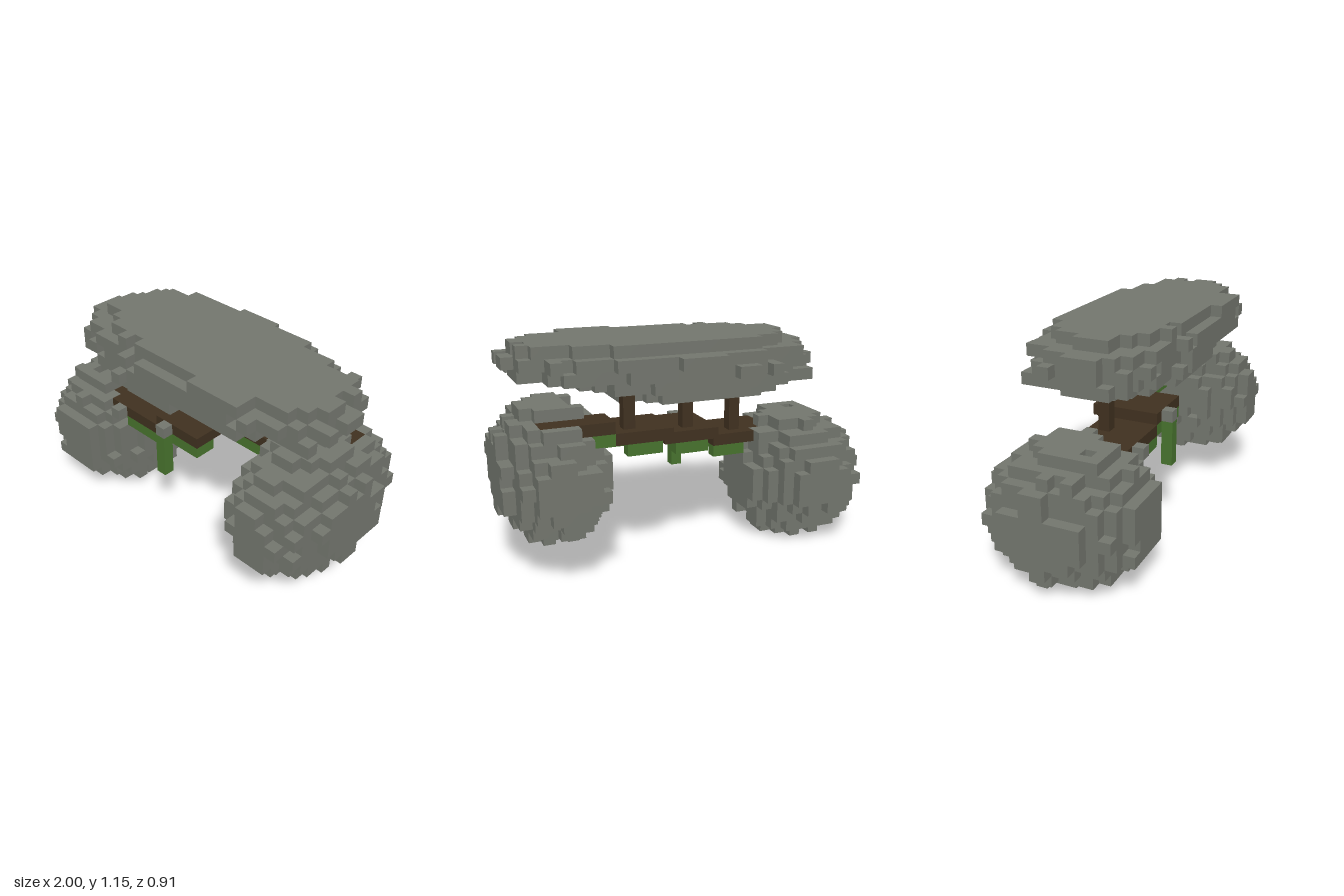
import * as THREE from 'three';

// Grid of cubes: 33 wide, 19 high, 15 deep
const S = 2 / 33;
const materials = {
  stone: new THREE.MeshStandardMaterial({ name: 'stone grey', color: 0x72756d }),
  wood: new THREE.MeshStandardMaterial({ name: 'dark wood', color: 0x3f301f }),
  moss: new THREE.MeshStandardMaterial({ name: 'moss green', color: 0x47722d }),
};

// Repeatable noise in -1..1 for each cell
function noise(i, j, k) {
  let h = (i * 374761393 + j * 668265263 + k * 1274126177) | 0;
  h = Math.imul(h ^ (h >>> 13), 1274126177);
  return ((h ^ (h >>> 16)) >>> 0) / 2147483648 - 1;
}

const key = (i, j, k) => `${i},${j},${k}`;

// Outward faces of every cell of a part that has no neighbour
const AXES = [[1, 0, 0], [0, 1, 0], [0, 0, 1]];
function partGeometry(cells, part) {
  const pos = [], nor = [];
  for (const [name, owner] of cells) {
    if (owner !== part) continue;
    const [i, j, k] = name.split(',').map(Number);
    const c = [i - 16, j + 0.5, k - 7];
    for (let a = 0; a < 3; a++) for (const sign of [1, -1]) {
      const n = AXES[a].map((v) => v * sign);
      if (cells.has(key(i + n[0], j + n[1], k + n[2]))) continue;
      const u = AXES[(a + 1) % 3], v = AXES[(a + 2) % 3];
      const quad = [[-1, -1], [1, -1], [1, 1], [-1, 1]].map(([p, q]) =>
        c.map((m, d) => (m + (n[d] + p * u[d] + q * v[d] * sign) / 2) * S));
      for (const t of [0, 1, 2, 0, 2, 3]) {
        pos.push(...quad[t]);
        nor.push(...n);
      }
    }
  }
  const g = new THREE.BufferGeometry();
  g.setAttribute('position', new THREE.Float32BufferAttribute(pos, 3));
  g.setAttribute('normal', new THREE.Float32BufferAttribute(nor, 3));
  return g;
}

export function createModel() {
  const cells = new Map();
  const box = (part, i0, i1, j0, j1, k0, k1) => {
    for (let i = i0; i <= i1; i++) for (let j = j0; j <= j1; j++) for (let k = k0; k <= k1; k++) {
      if (part) cells.set(key(i, j, k), part);
      else cells.delete(key(i, j, k));
    }
  };

  // Rough ellipsoid boulders with a few knobs
  const boulder = (part, ci, cj, ck, ri, rj, rk) => {
    for (let i = 0; i < 33; i++) for (let j = 0; j < 19; j++) for (let k = 0; k < 15; k++) {
      const d = [(i - ci) / ri, (j - cj) / rj, (k - ck) / rk];
      if (d.some((v) => Math.abs(v) > 1)) continue;
      if (d[0] ** 2 + d[1] ** 2 + d[2] ** 2 < 1.06 + 0.12 * noise(i, j, k)) cells.set(key(i, j, k), part);
    }
  };
  boulder('rightBoulder', 5, 5, 7, 5.5, 5.5, 6.5);
  box('rightBoulder', 0, 0, 8, 8, 6, 7);
  box('rightBoulder', 8, 8, 0, 0, 6, 7);
  box('rightBoulder', 3, 5, 10, 10, 8, 10);
  boulder('leftBoulder', 28, 8, 7, 4.5, 5.5, 7.5);
  box('leftBoulder', 28, 28, 2, 2, 7, 7);

  // Flat capstone, one rounded outline per layer: j, i range, k range
  const layers = [
    [14, 8, 22, 3, 12], [15, 5, 25, 2, 13], [16, 5, 30, 2, 13],
    [17, 5, 31, 2, 13], [18, 7, 30, 3, 12],
  ];
  for (const [j, i0, i1, k0, k1] of layers) {
    for (let i = i0; i <= i1; i++) for (let k = k0; k <= k1; k++) {
      const skew = (i - 18) * 0.03;
      const u = Math.abs((i - (i0 + i1) / 2) / ((i1 - i0 + 1) / 2));
      const v = Math.abs((k - skew - (k0 + k1) / 2) / ((k1 - k0 + 1) / 2));
      if (u ** 2.3 + v ** 2.3 < 1.03 + 0.18 * noise(i, j, k)) cells.set(key(i, j, k), 'capstone');
    }
  }
  // Capstone knobs on the front and back edges
  box('capstone', 21, 25, 18, 18, 12, 13);
  box('capstone', 10, 10, 16, 16, 1, 2);
  box('capstone', 12, 13, 16, 16, 1, 2);
  box('capstone', 15, 18, 17, 17, 1, 2);
  box(null, 29, 31, 14, 18, 1, 4);

  // Stepped walkway running diagonally, sunk into both boulders
  box(null, 4, 4, 10, 10, 9, 9);
  box('walkway', 4, 7, 9, 9, 9, 9);
  box('walkway', 8, 9, 9, 9, 7, 10);
  box('walkway', 10, 13, 9, 9, 6, 10);
  box('walkway', 14, 18, 10, 10, 5, 10);
  box('walkway', 19, 23, 11, 11, 3, 7);
  box('walkway', 24, 25, 12, 12, 3, 5);
  box('walkway', 26, 29, 12, 12, 3, 4);
  box(null, 24, 29, 13, 13, 3, 4);
  box('leftBoulder', 30, 30, 12, 12, 3, 4);
  box('rightBoulder', 9, 9, 9, 9, 11, 11);

  // Moss under the walkway edges
  box('moss', 10, 13, 8, 8, 9, 10);
  box('moss', 11, 13, 8, 8, 6, 6);
  box('moss', 14, 18, 9, 9, 9, 10);
  box('moss', 15, 17, 9, 9, 5, 5);
  box('moss', 19, 23, 10, 10, 6, 7);
  box('moss', 20, 22, 10, 10, 3, 3);
  box('moss', 24, 25, 11, 11, 3, 3);

  // Hanging vine with a small stone on top
  box('vine', 15, 15, 6, 9, 11, 11);
  box('vineStone', 15, 15, 10, 10, 11, 11);

  // Posts carrying the capstone
  box('posts', 11, 11, 10, 13, 7, 7);
  box('posts', 16, 16, 11, 13, 6, 6);
  box('posts', 22, 22, 12, 14, 4, 4);
  box(null, 23, 23, 14, 14, 4, 4);

  const parts = {
    rightBoulder: 'stone', leftBoulder: 'stone', capstone: 'stone', vineStone: 'stone',
    walkway: 'wood', posts: 'wood', moss: 'moss', vine: 'moss',
  };
  const group = new THREE.Group();
  group.name = 'boulderBridge';
  for (const [name, colour] of Object.entries(parts)) {
    const mesh = new THREE.Mesh(partGeometry(cells, name), materials[colour]);
    mesh.name = name;
    group.add(mesh);
  }
  return group;
}
